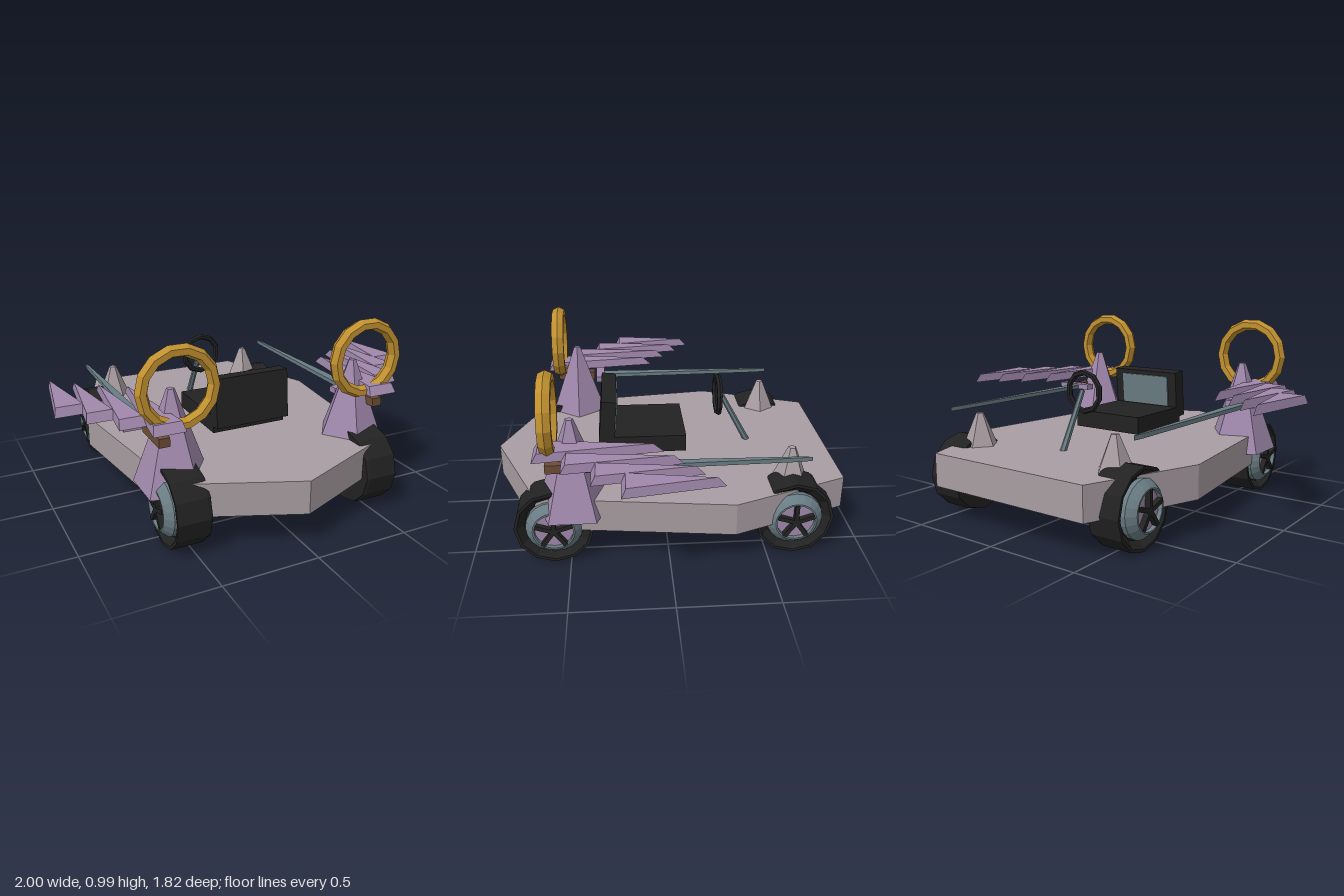
import * as THREE from 'three';

const mat = (name, color) => {
  const m = new THREE.MeshStandardMaterial({ color });
  m.name = name;
  return m;
};

export function createModel() {
  const stone = mat('warm grey', 0xa89da2);
  const lavender = mat('lavender', 0xa088ac);
  const black = mat('black', 0x222222);
  const steel = mat('blue grey', 0x6a7d84);
  const gold = mat('gold', 0xc09030);
  const brown = mat('brown', 0x6e4d37);

  const root = new THREE.Group();
  root.name = 'kart';

  // Adds a faceted mesh to a parent
  const add = (name, geometry, material, x = 0, y = 0, z = 0, parent = root) => {
    const g = geometry.index ? geometry.toNonIndexed() : geometry;
    g.computeVertexNormals();
    const mesh = new THREE.Mesh(g, material);
    mesh.name = name;
    mesh.position.set(x, y, z);
    parent.add(mesh);
    return mesh;
  };
  const box = (w, h, d) => new THREE.BoxGeometry(w, h, d);
  const lathe = (pts, n) => new THREE.LatheGeometry(pts.map(p => new THREE.Vector2(...p)), n);

  // Horizontal slab from an outline of [x, z] points, standing on y = 0
  const slab = (pts, depth) => {
    const shape = new THREE.Shape(pts.map(([x, z]) => new THREE.Vector2(x, -z)));
    return new THREE.ExtrudeGeometry(shape, { depth, bevelEnabled: false }).rotateX(-Math.PI / 2);
  };

  // Body
  const half = [[0.58, 0.663], [0.70, -0.32], [0.477, -0.91]];
  const outline = [[0, 0.908], ...half, ...half.map(([x, z]) => [-x, z]).reverse()];
  add('body', slab(outline, 0.172), stone, 0, 0.183, 0);

  // Seat with a leaning backrest and inset panel
  add('seatCushion', box(0.416, 0.092, 0.42), black, 0, 0.445, 0.092);
  const back = new THREE.Group();
  back.name = 'seatBack';
  back.position.set(0, 0.565, 0.3);
  back.rotation.x = -0.09;
  root.add(back);
  add('backrest', box(0.416, 0.26, 0.08), black, 0, 0, 0, back);
  add('backrestPanel', box(0.31, 0.17, 0.008), steel, 0, 0.02, -0.043, back);

  // Steering wheel and column
  add('steeringWheel', new THREE.TorusGeometry(0.103, 0.016, 6, 10).rotateZ(Math.PI / 10), black, 0, 0.635, -0.31);
  const top = new THREE.Vector3(0, 0.645, -0.325), foot = new THREE.Vector3(0, 0.33, -0.495);
  const dir = top.clone().sub(foot);
  const column = add('steeringColumn', new THREE.CylinderGeometry(0.014, 0.018, dir.length(), 6), steel);
  column.position.copy(top).add(foot).multiplyScalar(0.5);
  column.quaternion.setFromUnitVectors(new THREE.Vector3(0, 1, 0), dir.normalize());

  // Wheel: the axis is local y, pointing outward, measured from the kart centre line
  const makeWheel = (name, s, z) => {
    const wheel = new THREE.Group();
    wheel.name = name;
    wheel.position.set(0, 0.2, z);
    wheel.rotation.z = -s * Math.PI / 2;
    root.add(wheel);
    add('tire', lathe([[0, 0.433], [0.195, 0.433], [0.2, 0.45], [0.2, 0.608],
      [0.185, 0.608], [0.15, 0.575], [0, 0.575]], 12), black, 0, 0, 0, wheel);
    add('rim', lathe([[0.142, 0.57], [0.142, 0.6], [0.12, 0.625], [0.105, 0.64],
      [0.096, 0.64], [0.096, 0.6]], 20), steel, 0, 0, 0, wheel);
    add('hubDisc', new THREE.CylinderGeometry(0.098, 0.098, 0.03, 20), lavender, 0, 0.603, 0, wheel);
    for (let i = 0; i < 5; i++) {
      const a = i * Math.PI * 2 / 5 - s * Math.PI / 2;
      const spoke = add('spoke', box(0.022, 0.03, 0.098), black,
        Math.sin(a) * 0.049, 0.63, Math.cos(a) * 0.049, wheel);
      spoke.rotation.y = a;
    }
  };

  // Five-sided cone with one corner turned to the centre line
  const cone = (s, rTop, rBase, h) =>
    new THREE.CylinderGeometry(rTop, rBase, h, 5, 1, false, -s * Math.PI / 2);

  // Feathers: outer x, inner x, tip z, root z
  const feathers = [
    [1.0, 0.845, -0.225, 0.24],
    [0.885, 0.745, -0.145, 0.375],
    [0.775, 0.645, -0.06, 0.515],
    [0.665, 0.505, 0.025, 0.655],
  ];

  for (const s of [1, -1]) {
    const side = s > 0 ? 'left' : 'right';
    makeWheel(side + 'FrontWheel', s, 0.576);
    makeWheel(side + 'RearWheel', s, -0.635);
    add(side + 'RearCone', cone(s, 0.02, 0.1, 0.19), stone, s * 0.442, 0.43, -0.635);
    add(side + 'FrontCone', cone(s, 0.02, 0.2, 0.49), lavender, s * 0.51, 0.505, 0.478);

    // Halo ring
    const ring = new THREE.TorusGeometry(0.178, 0.031, 6, 14).scale(1, 1, 1.25);
    add(side + 'Halo', ring, gold, s * 0.513, 0.783, 0.58);

    // Wing of flat pointed feathers
    const wing = new THREE.Group();
    wing.name = side + 'Wing';
    root.add(wing);
    for (const [xo, xi, tip, base] of feathers) {
      const sz = (base - tip) / 1.5;
      const g = new THREE.CylinderGeometry(0.87, 1, 0.046, 3).rotateY(Math.PI)
        .scale((xo - xi) / Math.sqrt(3), 1, sz);
      add('feather', g, lavender, s * (xo + xi) / 2, 0.621, base - sz / 2, wing);
    }

    // Sword with grip, guard and tapering blade
    add(side + 'SwordGrip', box(0.055, 0.045, 0.22), brown, s * 0.593, 0.538, 0.49);
    add(side + 'SwordGuard', box(0.22, 0.032, 0.05), lavender, s * 0.6, 0.54, 0.345);
    add(side + 'SwordBlade', slab([[-0.03, 0.33], [0.03, 0.33], [0.007, -0.64], [0, -0.7],
      [-0.007, -0.64]], 0.022), steel, s * 0.593, 0.525, 0);
  }
  return root;
}
